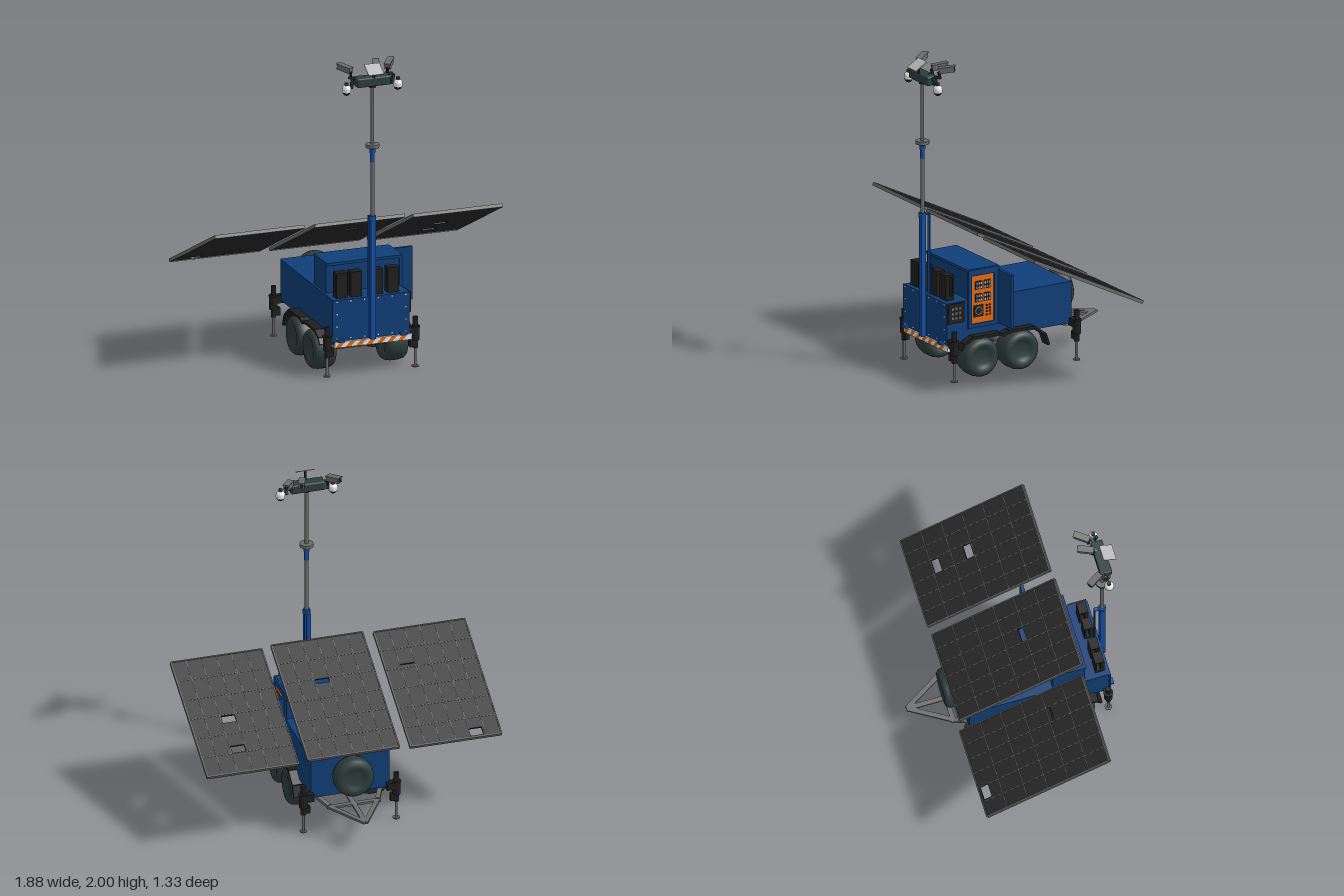
import * as THREE from 'three';
import { RoundedBoxGeometry } from 'three/addons/geometries/RoundedBoxGeometry.js';

const mat = (name, color, side = THREE.FrontSide) => {
  const m = new THREE.MeshStandardMaterial({ color, side });
  m.name = name;
  return m;
};

export function createModel() {
  const root = new THREE.Group();
  root.name = 'solarSurveillanceTrailer';
  const blue = mat('bodyBlue', 0x0f3f78);
  const mastBlue = mat('mastBlue', 0x1250a4);
  const slate = mat('slate', 0x2f3e3e);
  const black = mat('black', 0x1f1f20);
  const cellDark = mat('solarCell', 0x282828);
  const grey = mat('steelGrey', 0x6c6c6c);
  const light = mat('lightGrey', 0xb8b8b8, THREE.DoubleSide);
  const white = mat('white', 0xf0f0f0);
  const orange = mat('orange', 0xe8690f, THREE.DoubleSide);

  const add = (name, geo, m, x = 0, y = 0, z = 0, parent = root) => {
    const o = new THREE.Mesh(geo, m);
    o.name = name;
    o.position.set(x, y, z);
    parent.add(o);
    return o;
  };
  // Box given by its min and max on each axis
  const box = (name, m, x0, x1, y0, y1, z0, z1, parent = root) =>
    add(name, new THREE.BoxGeometry(x1 - x0, y1 - y0, z1 - z0), m, (x0 + x1) / 2, (y0 + y1) / 2, (z0 + z1) / 2, parent);
  // Upright cylinder between two heights
  const post = (name, m, r, y0, y1, x, z, parent = root, r2 = r) =>
    add(name, new THREE.CylinderGeometry(r2, r, y1 - y0, 24), m, x, (y0 + y1) / 2, z, parent);
  // Square bar between two points
  const bar = (name, m, a, b, w, h, parent = root) => {
    const A = new THREE.Vector3(...a), B = new THREE.Vector3(...b);
    const o = add(name, new THREE.BoxGeometry(w, h, A.distanceTo(B)), m, 0, 0, 0, parent);
    o.position.copy(A).add(B).multiplyScalar(0.5);
    o.lookAt(B);
    return o;
  };
  const group = (name, x = 0, y = 0, z = 0, parent = root) => {
    const g = new THREE.Group();
    g.name = name;
    g.position.set(x, y, z);
    parent.add(g);
    return g;
  };

  // Body and bolted front plate
  box('body', blue, -0.25, 0.25, 0.235, 0.5, -0.33, 0.56);
  box('frontPlate', blue, -0.254, 0.25, 0.235, 0.5, 0.56, 0.57);
  const bolt = new THREE.CylinderGeometry(0.005, 0.005, 0.006, 8).rotateX(Math.PI / 2);
  for (let i = 0; i < 6; i++) {
    const x = -0.225 + i * 0.09;
    for (const y of [0.252, 0.488]) add('plateBolt', bolt, white, x, y, 0.571);
  }
  for (const x of [-0.225, 0.225]) for (const y of [0.33, 0.41]) add('plateBolt', bolt, white, x, y, 0.571);

  // Striped bumper
  box('bumper', white, -0.24, 0.265, 0.195, 0.232, 0.555, 0.575);
  for (let i = 0; i < 7; i++) {
    const x = -0.24 + i * 0.068;
    const s = new THREE.Shape([[0, 0], [0.034, 0], [0.068, 0.037], [0.034, 0.037]].map(p => new THREE.Vector2(...p)));
    add('bumperStripe', new THREE.ShapeGeometry(s), orange, x, 0.195, 0.577);
  }
  for (const x of [-0.205, 0.205]) box('bumperBracket', mastBlue, x - 0.02, x + 0.02, 0.235, 0.25, 0.57, 0.6);

  // Cabinet with rim, open door and control panel on its left side
  box('cabinet', blue, -0.235, 0.244, 0.33, 0.68, 0.205, 0.41);
  box('cabinetRoof', blue, -0.235, 0.25, 0.675, 0.692, 0.197, 0.42);
  box('cabinetRim', blue, 0.244, 0.262, 0.32, 0.345, 0.197, 0.42);
  box('cabinetRim', blue, 0.244, 0.262, 0.65, 0.69, 0.197, 0.42);
  box('cabinetRim', blue, 0.244, 0.262, 0.32, 0.69, 0.395, 0.42);
  box('cabinetRim', blue, 0.244, 0.262, 0.32, 0.69, 0.197, 0.235);
  const door = group('cabinetDoor', 0.25, 0, 0.2);
  box('doorSheet', blue, 0, 0.16, 0.325, 0.665, -0.002, 0.008, door);
  for (const [x0, x1, y0, y1] of [[0, 0.16, 0.325, 0.337], [0, 0.16, 0.653, 0.665], [0, 0.012, 0.325, 0.665], [0.148, 0.16, 0.325, 0.665]])
    box('doorRim', blue, x0, x1, y0, y1, -0.014, 0, door);
  box('controlPanel', orange, 0.244, 0.254, 0.345, 0.65, 0.235, 0.395);
  for (const y of [0.585, 0.505]) for (const z of [0.285, 0.345]) {
    box('breakerBlock', black, 0.253, 0.259, y - 0.025, y + 0.028, z - 0.025, z + 0.025);
    for (let i = 0; i < 3; i++) for (const dy of [-0.012, 0.014])
      box('breakerSwitch', light, 0.258, 0.262, y + dy - 0.007, y + dy + 0.007, z - 0.02 + i * 0.015, z - 0.01 + i * 0.015);
  }
  box('gaugePlate', black, 0.253, 0.258, 0.385, 0.46, 0.31, 0.38);
  add('gaugeRing', new THREE.TorusGeometry(0.023, 0.004, 8, 24).rotateY(Math.PI / 2), light, 0.258, 0.423, 0.345);
  for (let i = 0; i < 4; i++) for (const z of [0.262, 0.285])
    box('controlButton', black, 0.253, 0.258, 0.385 + i * 0.02, 0.395 + i * 0.02, z - 0.006, z + 0.006);

  // Socket box beside the front corner
  box('socketBox', black, 0.25, 0.262, 0.37, 0.495, 0.45, 0.565);
  for (const y of [0.405, 0.435, 0.465]) for (const z of [0.485, 0.51, 0.535])
    box('socket', grey, 0.262, 0.267, y - 0.008, y + 0.008, z - 0.007, z + 0.007);

  // Battery racks standing on the front of the body
  for (const x of [-0.18, -0.085, 0.05, 0.157]) {
    const g = group('batteryRack', x);
    box('rackFront', black, -0.037, 0.037, 0.5, 0.66, 0.515, 0.54, g);
    box('rackBack', black, -0.037, 0.037, 0.5, 0.66, 0.482, 0.494, g);
    box('rackTop', black, -0.037, 0.037, 0.645, 0.66, 0.49, 0.52, g);
    box('rackBase', black, -0.037, 0.037, 0.5, 0.525, 0.49, 0.52, g);
  }

  // Wheels, axles and spare
  const tyre = new THREE.LatheGeometry([[0, -0.05], [0.045, -0.052], [0.062, -0.064], [0.085, -0.074], [0.107, -0.07], [0.12, -0.054],
    [0.126, -0.025], [0.126, 0.025], [0.12, 0.054], [0.107, 0.07], [0.085, 0.074], [0.062, 0.064], [0.045, 0.052], [0, 0.05]]
    .map(p => new THREE.Vector2(...p)), 40);
  for (const z of [0.334, 0.048]) {
    for (const x of [-0.248, 0.222]) add('wheel', tyre, slate, x, 0.127, z).rotation.z = Math.PI / 2;
    add('axle', new THREE.CylinderGeometry(0.02, 0.02, 0.44, 16), grey, -0.013, 0.127, z).rotation.z = Math.PI / 2;
    for (const x of [-0.14, 0.115]) box('axleHanger', black, x - 0.012, x + 0.012, 0.13, 0.24, z - 0.02, z + 0.02);
  }
  const spare = add('spareWheel', tyre, slate, -0.003, 0.377, -0.385);
  spare.rotation.x = Math.PI / 2;
  spare.scale.y = 0.75;

  // Fenders following both wheels
  const arch = [[0.495, 0.2], [0.47, 0.235], [0.41, 0.268], [0.22, 0.268], [0.19, 0.25], [0.15, 0.268], [-0.03, 0.268], [-0.11, 0.21], [-0.135, 0.14]];
  for (const x of [-0.275, 0.268])
    for (let i = 1; i < arch.length; i++)
      bar('fender', black, [x, arch[i - 1][1], arch[i - 1][0]], [x, arch[i][1], arch[i][0]], 0.07, 0.016);

  // Corner jacks
  for (const [x, z] of [[-0.28, 0.546], [0.297, 0.546], [-0.293, -0.334], [0.3, -0.334]]) {
    const g = group('cornerJack', x, 0, z), inner = -Math.sign(x);
    post('jackFoot', grey, 0.022, 0.01, 0.018, 0, 0, g);
    post('jackLeg', grey, 0.009, 0.015, 0.14, 0, 0, g);
    post('jackTube', black, 0.016, 0.13, 0.33, 0, 0, g);
    post('jackCollar', black, 0.026, 0.18, 0.26, 0, 0, g);
    post('jackFlange', black, 0.03, 0.262, 0.272, 0, 0, g);
    add('jackArm', new THREE.BoxGeometry(0.07, 0.05, 0.045), black, inner * 0.03, 0.245, 0, g);
    add('jackGearbox', new THREE.BoxGeometry(0.04, 0.05, 0.03), black, inner * 0.02, 0.165, 0, g);
  }

  // Tow frame
  for (const s of [-1, 1]) bar('towArm', grey, [s * 0.155, 0.195, -0.4], [0, 0.195, -0.655], 0.03, 0.015);
  bar('towSpine', grey, [0, 0.195, -0.3], [0, 0.195, -0.655], 0.03, 0.014);
  box('towCrossBar', grey, -0.17, 0.17, 0.188, 0.202, -0.42, -0.39);
  for (const s of [-1, 1]) bar('towRail', grey, [s * 0.155, 0.2, -0.4], [s * 0.2, 0.22, -0.3], 0.03, 0.02);

  // Solar panels rising to the front, with open cells
  const W = 0.291, L = 0.435;
  const panel = (name, x, y, z, holes) => {
    const g = group(name, x, y, z);
    g.rotation.x = -0.458;
    const rect = (a, b, c, d, T) => new T([[a, c], [b, c], [b, d], [a, d]].map(p => new THREE.Vector2(...p)));
    const s = rect(-W, W, -L, L, THREE.Shape);
    for (const h of holes) s.holes.push(rect(...h, THREE.Path));
    const geo = new THREE.ExtrudeGeometry(s, { depth: 0.012, bevelEnabled: false }).rotateX(Math.PI / 2);
    add('panelCells', geo, cellDark, 0, 0.006, 0, g);
    for (let i = 1; i < 6; i++) {
      const u = -W + i * W / 3, v = -L + i * L / 3;
      box('cellLine', grey, u - 0.0015, u + 0.0015, 0.005, 0.008, -L, L, g);
      box('cellLine', grey, -W, W, 0.005, 0.008, v - 0.0015, v + 0.0015, g);
    }
    for (const e of [-1, 1]) {
      add('panelFrame', new THREE.BoxGeometry(0.007, 0.022, 2 * L), grey, e * W, 0, 0, g);
      add('panelFrame', new THREE.BoxGeometry(2 * W, 0.022, 0.007), grey, 0, 0, e * L, g);
    }
  };
  panel('rightSolarPanel', -0.6475, 0.733, -0.033, [[-0.18, -0.097, -0.42, -0.365], [0.1, 0.19, 0.168, 0.174]]);
  panel('centreSolarPanel', 0, 0.735, -0.015, [[0.004, 0.09, 0.115, 0.142]].map(h => [h[0], h[1], 0.11, 0.143]));
  panel('leftSolarPanel', 0.645, 0.724, -0.0225, [[0.003, 0.09, -0.286, -0.235], [0.003, 0.09, -0.059, -0.008]]);

  // Telescopic mast
  const mz = 0.59;
  box('mastBase', mastBlue, -0.016, 0.016, 0.235, 1.0, mz - 0.016, mz + 0.016);
  post('mastCollar', mastBlue, 0.023, 0.995, 1.025, 0, mz);
  post('mastLower', grey, 0.013, 1.02, 1.38, 0, mz);
  post('mastSleeve', mastBlue, 0.014, 1.37, 1.44, 0, mz);
  post('mastSleeveCollar', mastBlue, 0.018, 1.43, 1.455, 0, mz);
  post('mastDisc', grey, 0.042, 1.465, 1.486, 0, mz);
  post('mastUpper', grey, 0.011, 1.45, 1.87, 0, mz);
  box('mastStay', mastBlue, -0.012, 0.012, 0.5, 1.015, 0.539, 0.545);
  box('mastStayTop', mastBlue, -0.012, 0.012, 1.007, 1.015, 0.54, 0.58);

  // Camera head
  add('headBox', new RoundedBoxGeometry(0.22, 0.058, 0.075, 2, 0.008), slate, 0, 1.892, 0.585);
  post('headSocket', slate, 0.022, 1.85, 1.87, 0, mz);
  for (const s of [-1, 1]) {
    const g = group('domeCamera', s * 0.168, 1.845, 0.585);
    bar('domeArm', slate, [-s * 0.07, 0.04, 0], [0, 0.044, 0], 0.018, 0.014, g);
    post('domeNeck', slate, 0.012, 0.028, 0.05, 0, 0, g);
    add('domeHousing', new THREE.SphereGeometry(0.029, 24, 10, 0, Math.PI * 2, 0, Math.PI / 2), white, 0, 0.008, 0, g);
    post('domeBand', white, 0.029, -0.008, 0.008, 0, 0, g);
    add('domeLens', new THREE.SphereGeometry(0.024, 24, 10, 0, Math.PI * 2, Math.PI / 2, Math.PI / 2), black, 0, -0.008, 0, g);
  }
  // Bullet cameras looking rearwards
  for (const [x, z, yaw] of [[-0.145, 0.502, 0.6], [0.055, 0.505, -0.35], [0.14, 0.505, -0.6]]) {
    const g = group('bulletCamera', x, 1.958, z);
    g.rotation.set(0.15, yaw, 0, 'YXZ');
    box('cameraBody', grey, -0.018, 0.018, -0.016, 0.016, -0.05, 0.045, g);
    box('cameraHood', grey, -0.021, 0.021, 0.016, 0.021, -0.058, 0.045, g);
    add('cameraLens', new THREE.CylinderGeometry(0.012, 0.012, 0.006, 16).rotateX(Math.PI / 2), black, 0, 0, -0.051, g);
    bar('cameraMount', black, [0, -0.012, 0.03], [0, -0.045, 0.065], 0.014, 0.014, g);
    bar('cameraBracket', slate, [x, 1.918, z + 0.055], [x * 0.6, 1.91, 0.575], 0.016, 0.014);
  }
  // Small plate above the head
  const plate = box('topPlate', light, -0.05, 0.05, -0.003, 0.003, -0.047, 0.047);
  plate.position.set(-0.003, 1.974, 0.625);
  plate.rotation.x = 0.53;
  post('topPlatePost', black, 0.008, 1.915, 1.975, 0, 0.615);
  return root;
}
